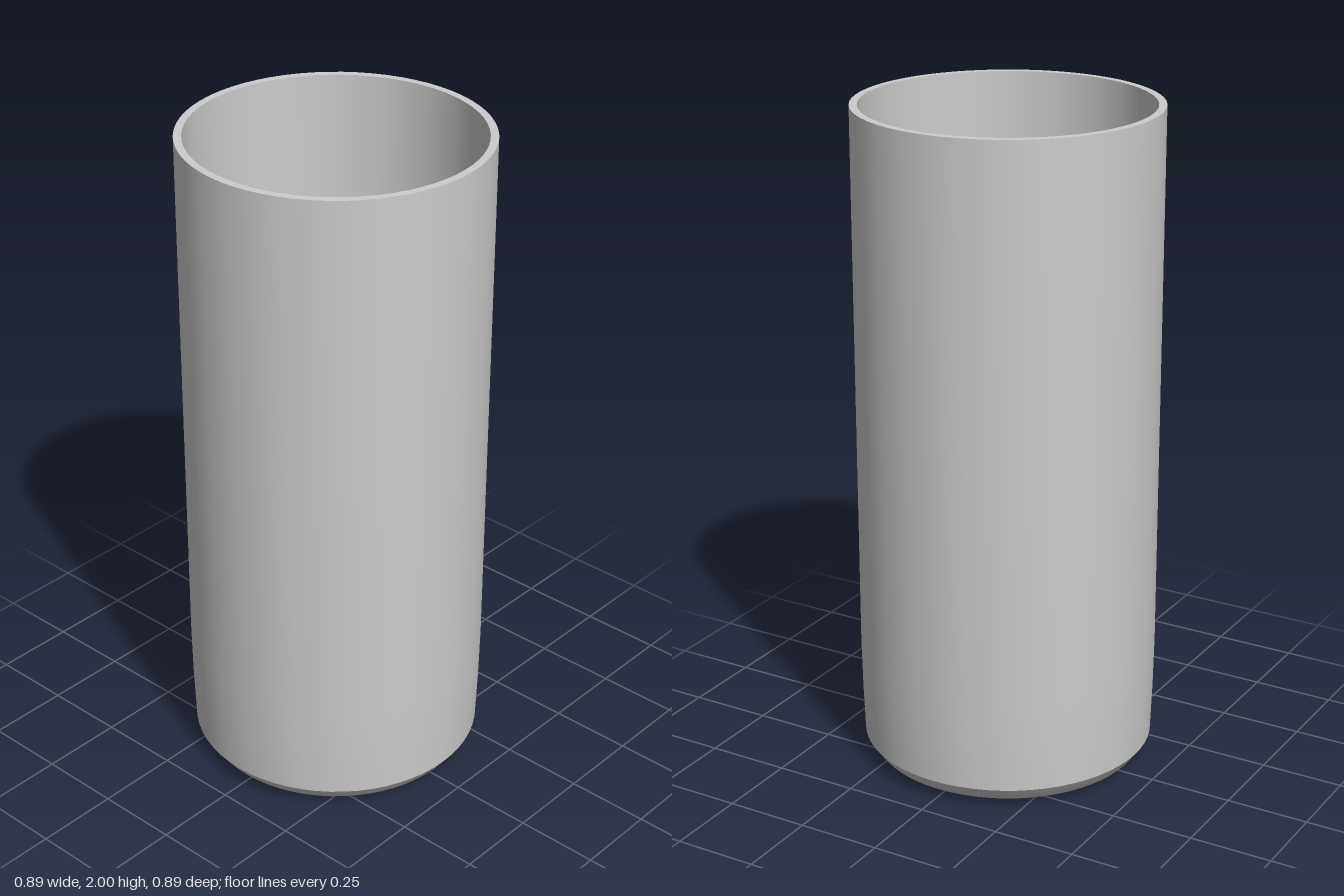
import * as THREE from 'three';
import { toCreasedNormals } from 'three/addons/utils/BufferGeometryUtils.js';

const SIDES = 64;

export function createModel() {
  const model = new THREE.Group();
  const material = new THREE.MeshStandardMaterial({ color: 0xcccccc });

  // Turn a profile of [radius, height] pairs around y, keeping its corners sharp
  function addTurned(name, profile) {
    const points = profile.map(([r, y]) => new THREE.Vector2(r, y));
    const geometry = toCreasedNormals(new THREE.LatheGeometry(points, SIDES), 0.4);
    const mesh = new THREE.Mesh(geometry, material);
    mesh.name = name;
    model.add(mesh);
  }

  // Slightly bulged base, bevelled foot and straight outer wall
  addTurned('outerWall', [
    [0, 0], [0.22, 0.004], [0.388, 0.012], [0.405, 0.022],
    [0.437, 0.065], [0.442, 0.2], [0.445, 0.36], [0.445, 2],
  ]);

  // Flat ring around the opening
  addTurned('rim', [[0.445, 2], [0.422, 2]]);

  // Hollow inside with a matching bevel down to the floor
  addTurned('innerWall', [
    [0.422, 2], [0.422, 0.36], [0.419, 0.2], [0.415, 0.08],
    [0.38, 0.036], [0.22, 0.028], [0, 0.024],
  ]);

  return model;
}
